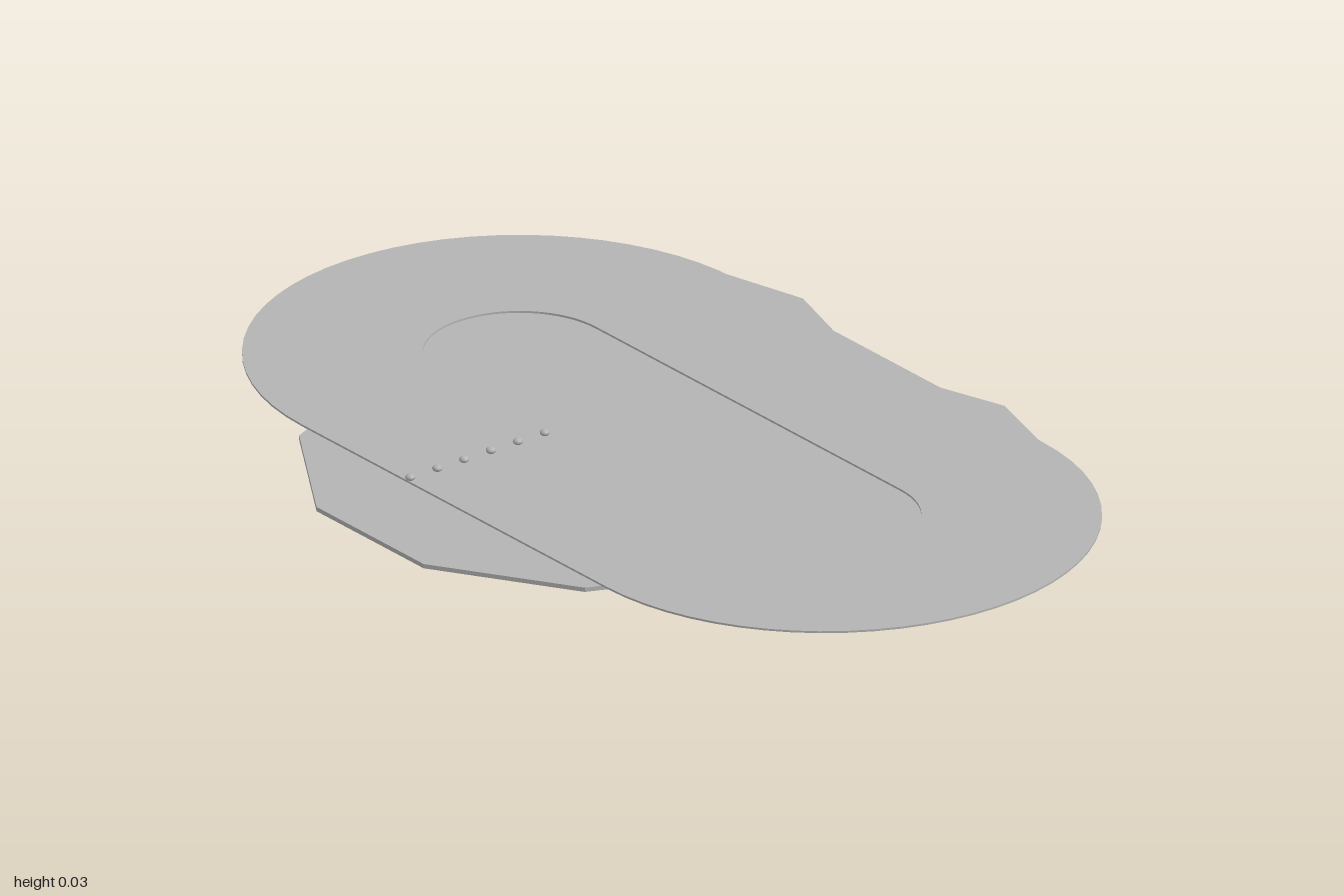
import * as THREE from 'three';

// Closed shape with two straights and two half-circle bends
function stadium(target, halfStraight, radius, zCentre) {
  target.moveTo(-halfStraight, zCentre - radius);
  target.lineTo(halfStraight, zCentre - radius);
  target.absarc(halfStraight, zCentre, radius, -Math.PI / 2, Math.PI / 2, false);
  target.lineTo(-halfStraight, zCentre + radius);
  target.absarc(-halfStraight, zCentre, radius, Math.PI / 2, Math.PI * 1.5, false);
  return target;
}

// Extrudes an x/z outline into a flat slab between two heights
function slab(name, shape, bottom, top, material) {
  const geometry = new THREE.ExtrudeGeometry(shape, {
    depth: top - bottom, bevelEnabled: false, curveSegments: 16,
  });
  geometry.rotateX(Math.PI / 2);
  geometry.translate(0, top, 0);
  const mesh = new THREE.Mesh(geometry, material);
  mesh.name = name;
  return mesh;
}

export function createModel() {
  const group = new THREE.Group();
  group.name = 'raceTrack';
  const grey = new THREE.MeshStandardMaterial({ color: 0xb4b4b4 });
  grey.name = 'plain grey';

  // Irregular ground plate, as x/z corners
  const corners = [
    [-0.33, -0.66], [-0.01, -0.565], [0.29, -0.66], [0.56, -0.585],
    [0.755, -0.37], [0.79, -0.08], [0.675, 0.175], [0.53, 0.265],
    [0.44, 0.48], [0.165, 0.655], [-0.165, 0.655], [-0.44, 0.48],
    [-0.47, 0.41], [-0.74, 0.23], [-0.865, -0.04], [-0.82, -0.35], [-0.6, -0.59],
  ];
  const ground = new THREE.Shape(corners.map(([x, z]) => new THREE.Vector2(x, z)));
  group.add(slab('groundPlate', ground, 0, 0.009, grey));

  // Oval running surface around the open infield
  const oval = stadium(new THREE.Shape(), 0.47, 0.53, -0.08);
  oval.holes.push(stadium(new THREE.Path(), 0.47, 0.185, -0.08));
  group.add(slab('trackSurface', oval, 0.009, 0.013, grey));

  // Row of small markers across the front straight, one per lane
  const markerGeometry = new THREE.IcosahedronGeometry(0.01, 1);
  markerGeometry.scale(1, 0.7, 1);
  for (let i = 0; i < 6; i++) {
    const marker = new THREE.Mesh(markerGeometry, grey);
    marker.name = `laneMarker${i + 1}`;
    marker.position.set(-0.145, 0.018, 0.115 + i * 0.0655);
    marker.rotation.y = i * 0.9;
    group.add(marker);
  }
  return group;
}
